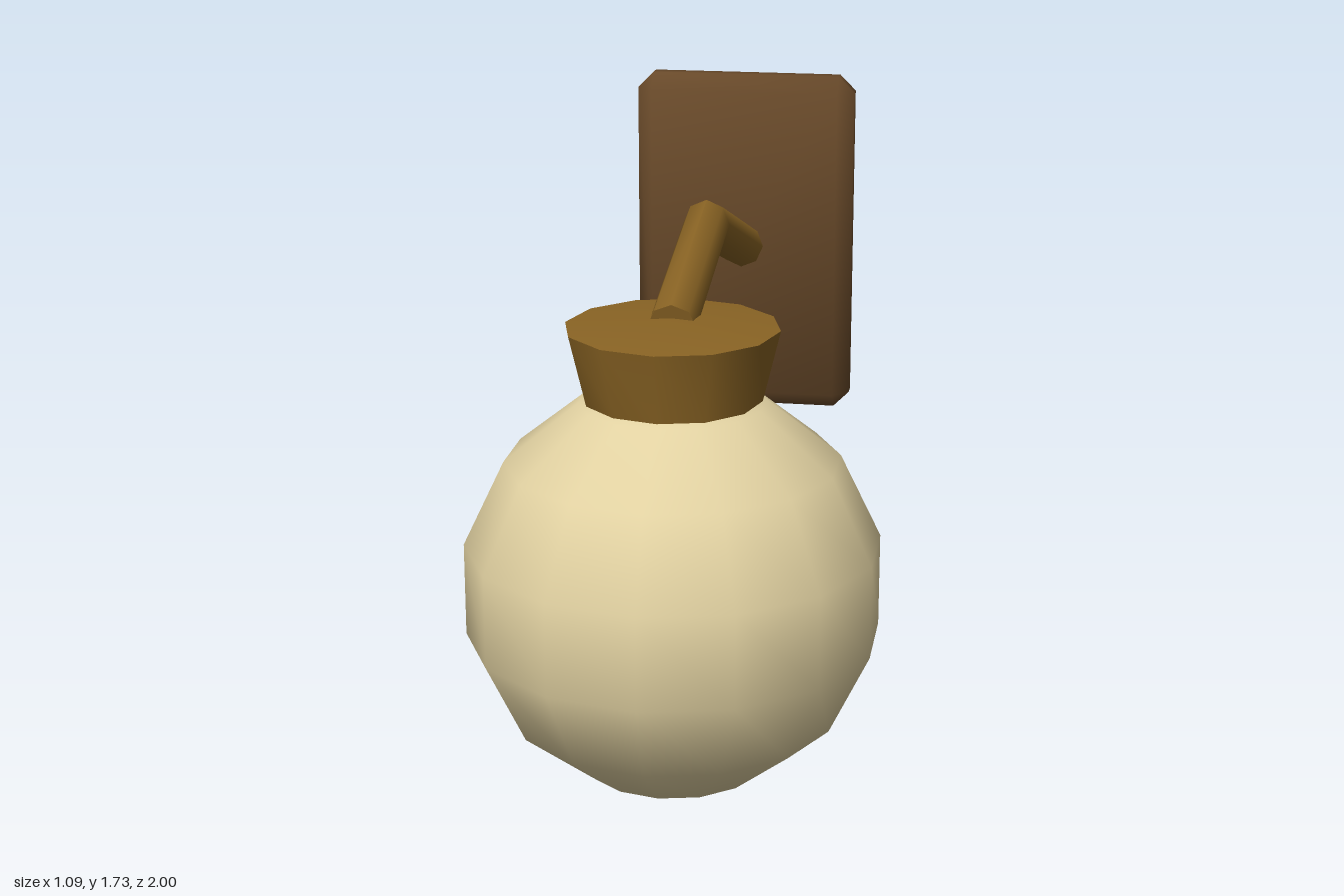
import * as THREE from 'three';
import { toCreasedNormals } from 'three/addons/utils/BufferGeometryUtils.js';
import { ConvexGeometry } from 'three/addons/geometries/ConvexGeometry.js';

// Box with a single 45 degree chamfer on every edge, softly shaded
function chamferedBox(w, h, d, c) {
  const points = [];
  for (const x of [-1, 1]) for (const y of [-1, 1]) for (const z of [-1, 1]) {
    for (let axis = 0; axis < 3; axis++) {
      const inset = [c, c, c];
      inset[axis] = 0;
      points.push(new THREE.Vector3(
        x * (w / 2 - inset[0]), y * (h / 2 - inset[1]), z * (d / 2 - inset[2])));
    }
  }
  return toCreasedNormals(new ConvexGeometry(points), 1.1);
}

// Rod through three [y, z] joints, mitred at the middle one
function bentRod(joints, radius, sides) {
  const geo = new THREE.CylinderGeometry(radius, radius, 2, sides, 2);
  const pts = joints.map(([y, z]) => new THREE.Vector2(z, y));
  const d0 = pts[1].clone().sub(pts[0]).normalize();
  const d1 = pts[2].clone().sub(pts[1]).normalize();
  const mid = d0.clone().add(d1).normalize();
  const dirs = [d0, mid, d1];
  const p = geo.attributes.position;
  for (let i = 0; i < p.count; i++) {
    const ring = Math.round(p.getY(i)) + 1;
    const dir = dirs[ring];
    const off = p.getZ(i) / dir.dot(d0) * (ring === 2 ? dir.dot(d0) : 1);
    // ring plane is perpendicular to the local direction
    p.setXYZ(i, p.getX(i), pts[ring].y - dir.x * off, pts[ring].x + dir.y * off);
  }
  return toCreasedNormals(geo, 0.9);
}

export function createModel() {
  const group = new THREE.Group();
  const glass = new THREE.MeshStandardMaterial({ name: 'cream glass', color: 0xe2d2a2 });
  const brass = new THREE.MeshStandardMaterial({ name: 'aged brass', color: 0x8a6424 });
  const wood = new THREE.MeshStandardMaterial({ name: 'dark wood', color: 0x694a2a });

  const add = (name, geometry, material, y, z) => {
    const mesh = new THREE.Mesh(geometry, material);
    mesh.name = name;
    mesh.position.set(0, y, z);
    group.add(mesh);
  };
  const lampZ = 0.437;

  // Wall plate
  add('wallPlate', chamferedBox(0.67, 1.05, 0.14, 0.048), wood, 1.205, -0.928);

  // Bent arm from the wall to the cap
  add('arm', bentRod([[1.205, -0.848], [1.44, -0.135], [1.297, 0.44]], 0.065, 8), brass, 0, 0);

  // Flared cap with a shallow conical top
  const cap = new THREE.LatheGeometry(
    [[0, 1.105], [0.24, 1.105], [0.286, 1.297], [0, 1.322]].map(([r, y]) => new THREE.Vector2(r, y)), 12);
  add('cap', toCreasedNormals(cap, 0.7), brass, 0, lampZ);

  // Glass globe
  const globe = new THREE.SphereGeometry(0.5745, 14, 7);
  globe.rotateY(Math.PI / 2);
  add('globe', globe, glass, 0.5755, lampZ);

  return group;
}
